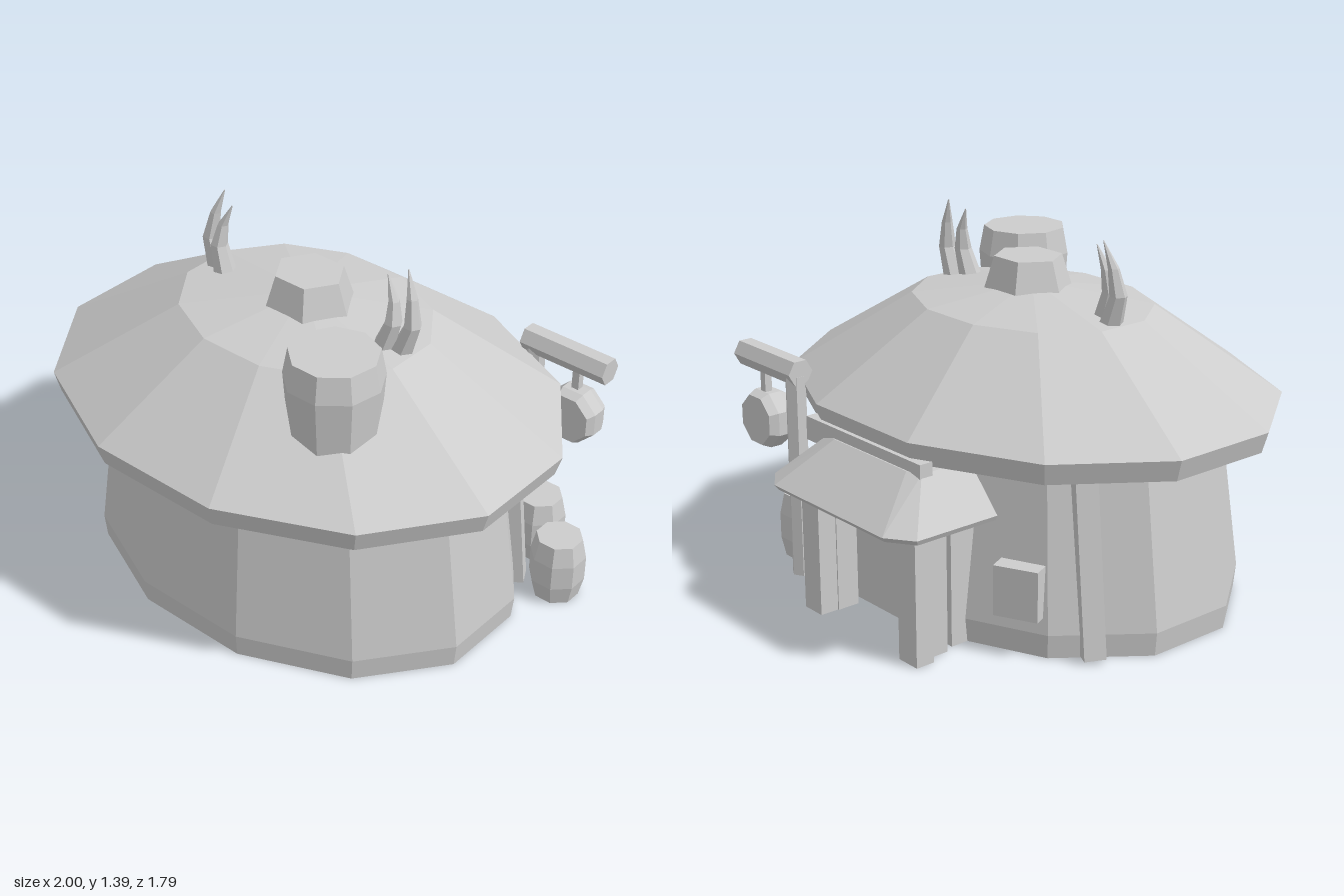
import * as THREE from 'three';

export function createModel() {
  const model = new THREE.Group();
  const grey = new THREE.MeshStandardMaterial({ color: 0xcccccc, flatShading: true, side: THREE.DoubleSide });
  grey.name = 'plain grey';
  const V = (x, y, z) => new THREE.Vector3(x, y, z);

  function add(name, geo, x = 0, y = 0, z = 0) {
    const mesh = new THREE.Mesh(geo, grey);
    mesh.name = name;
    mesh.position.set(x, y, z);
    model.add(mesh);
    return mesh;
  }
  // Faceted turned shape from [radius, height] pairs
  const turned = (profile, sides, start = Math.PI / sides) =>
    new THREE.LatheGeometry(profile.map(p => new THREE.Vector2(...p)), sides, start);
  // Box given by its two opposite corners
  function block(name, x0, x1, y0, y1, z0, z1) {
    return add(name, new THREE.BoxGeometry(x1 - x0, y1 - y0, z1 - z0),
      (x0 + x1) / 2, (y0 + y1) / 2, (z0 + z1) / 2);
  }
  // Skin over cross-section rings with equal point counts, capped at both ends
  function loft(rings) {
    const n = rings[0].length, pos = rings.flat().flatMap(p => [p.x, p.y, p.z]), idx = [];
    for (let r = 0; r < rings.length - 1; r++)
      for (let i = 0; i < n; i++) {
        const a = r * n + i, b = r * n + (i + 1) % n;
        idx.push(a, b, a + n, b, b + n, a + n);
      }
    const top = (rings.length - 1) * n;
    for (let i = 1; i < n - 1; i++) idx.push(0, i + 1, i, top, top + i, top + i + 1);
    const g = new THREE.BufferGeometry();
    g.setAttribute('position', new THREE.Float32BufferAttribute(pos, 3));
    g.setIndex(idx);
    g.computeVertexNormals();
    return g;
  }

  // Round hut: oval twelve-sided wall, open below, and a broad hollow roof
  const cz = 0.095;
  const wall = add('wall', turned([[0.89, 0], [0.9, 0.09], [0.8, 0.77]], 12), 0, 0, cz);
  wall.scale.z = 0.752;
  const roof = add('roof', turned([[1.01, 0.7], [1.035, 0.78], [0.507, 1.09], [0, 1.16]], 12), 0, 0, cz);
  roof.scale.z = 0.797;
  const cap = add('roofCap', turned([[0.175, 1.13], [0.135, 1.25], [0, 1.25]], 6, Math.PI / 6), 0.023, 0, 0.097);
  cap.scale.z = 0.92;

  // Hollow barrel chimney running from the floor out through the roof
  add('chimney', turned([[0.155, 0], [0.165, 0.1], [0.147, 0.7], [0.165, 0.95], [0.179, 1.14], [0.16, 1.24], [0, 1.24]], 9),
    0.42, 0, 0.425);

  // Paired curved horns on each side of the roof
  function horn(points) {
    const radii = [0.047, 0.033, 0.021, 0.002];
    return loft(points.map((p, r) => Array.from({ length: 6 }, (_, i) => {
      const a = -i * Math.PI / 3;
      return V(p[0] + radii[r] * Math.cos(a), p[1], p[2] + radii[r] * Math.sin(a));
    })));
  }
  for (const s of [-1, 1]) {
    add('outerHorn', horn([[s * 0.43, 1.07, 0.085], [s * 0.478, 1.2, 0.08], [s * 0.463, 1.3, 0.068], [s * 0.43, 1.395, 0.05]]));
    add('innerHorn', horn([[s * 0.37, 1.07, 0.115], [s * 0.413, 1.2, 0.105], [s * 0.403, 1.28, 0.092], [s * 0.365, 1.365, 0.08]]));
  }

  // Leaning wall posts and small wall boxes
  for (const s of [-1, 1]) {
    const a = V(s * 0.74, 0.01, -0.265), b = V(s * 0.665, 0.76, -0.255);
    const post = add('wallPost', new THREE.BoxGeometry(0.08, a.distanceTo(b), 0.08));
    post.position.copy(a).add(b).multiplyScalar(0.5);
    post.quaternion.setFromUnitVectors(V(0, 1, 0), b.clone().sub(a).normalize());
    post.rotateY(s * 0.5);
    const box = add('wallBox', new THREE.BoxGeometry(0.17, 0.19, 0.12), s * 0.53, 0.245, -0.41);
    box.rotation.y = -s * 0.44;
  }

  // Porch at the back: hipped canopy with clipped corners
  const px = -0.06;
  const outline = (y, w, wIn, zIn, zOut) => [
    V(px - w, y, -0.48), V(px + w, y, -0.48), V(px + w, y, zIn),
    V(px + wIn, y, zOut), V(px - wIn, y, zOut), V(px - w, y, zIn)].reverse();
  add('porchRoof', loft([
    outline(0.5, 0.41, 0.315, -0.82, -0.885),
    outline(0.52, 0.42, 0.32, -0.83, -0.9),
    outline(0.68, 0.27, 0.21, -0.69, -0.71)]));
  block('porchBeam', -0.34, 0.33, 0.63, 0.72, -0.705, -0.65);
  block('door', -0.34, 0.22, 0, 0.52, -0.575, -0.44);
  block('doorKnob', -0.1, -0.07, 0.29, 0.32, -0.6, -0.575);
  for (const s of [-1, 1]) {
    const x = px + s * 0.285, inner = px + s * 0.265;
    block('porchPost', x - 0.05, x + 0.05, 0, 0.51, -0.775, -0.7);
    block('innerPorchPost', inner - 0.035, inner + 0.035, 0, 0.51, -0.7, -0.61);
  }

  // Barrels standing against the wall
  for (const [x, z] of [[0.895, -0.315], [0.69, -0.475]])
    add('barrel', turned([[0, 0], [0.088, 0], [0.106, 0.08], [0.106, 0.18], [0.088, 0.26], [0, 0.26]], 8), x, 0, z);

  // Gong stand: post, crossbeam, hanger and round drum
  add('gongPost', new THREE.CylinderGeometry(0.042, 0.042, 0.8, 6), 0.525, 0.41, -0.615);
  const beam = add('gongBeam', new THREE.CylinderGeometry(0.053, 0.053, 0.37, 6), 0.675, 0.825, -0.615);
  beam.rotation.z = Math.PI / 2;
  block('gongHanger', 0.71, 0.74, 0.66, 0.8, -0.63, -0.6);
  const gong = add('gong', turned([[0, -0.06], [0.1, -0.06], [0.117, -0.025], [0.117, 0.025], [0.1, 0.06], [0, 0.06]], 8),
    0.728, 0.59, -0.608);
  gong.rotation.x = Math.PI / 2;

  return model;
}
